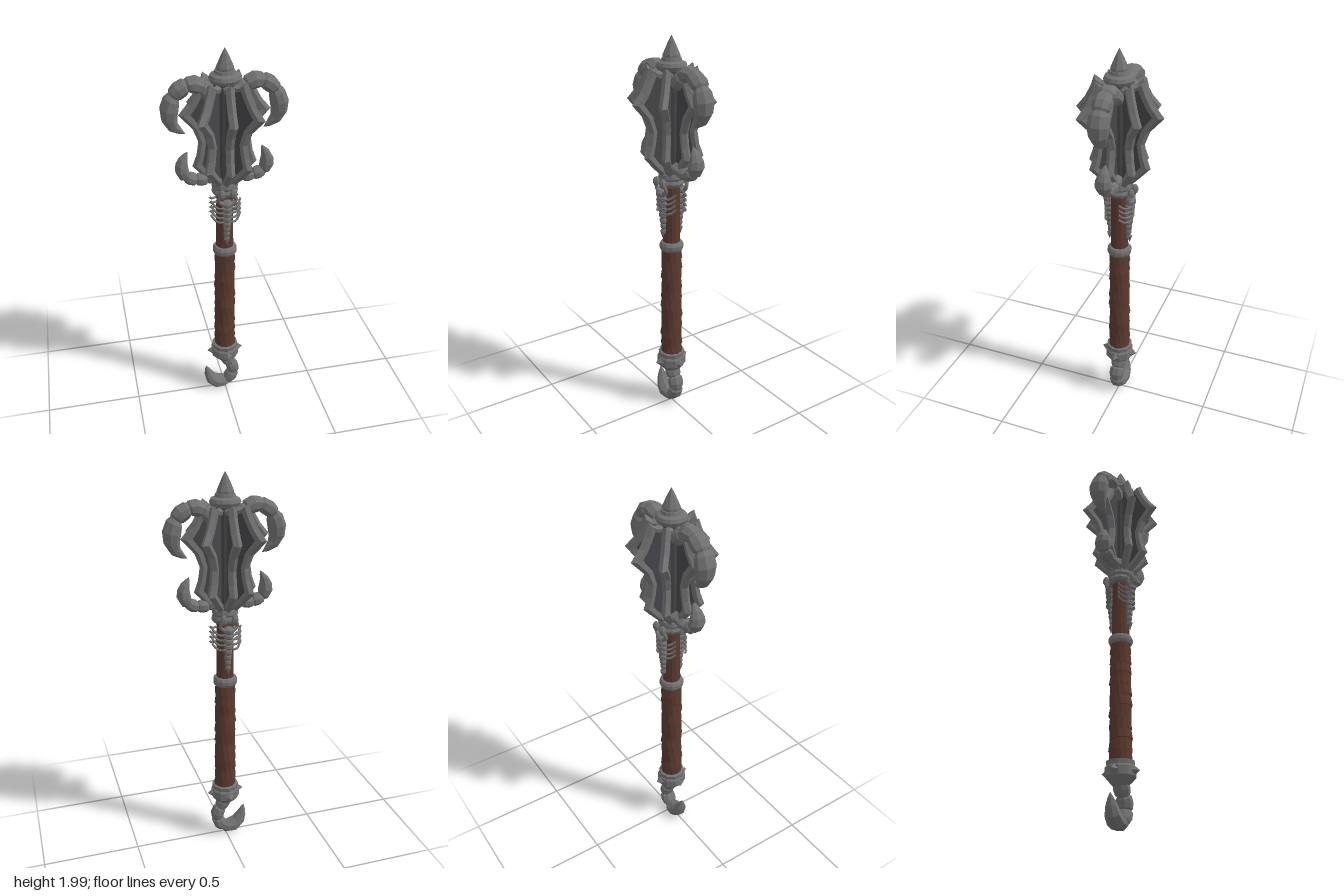
import * as THREE from 'three';

const mat = (name, color) => {
  const m = new THREE.MeshStandardMaterial({ color, flatShading: true });
  m.name = name;
  return m;
};

// Skins a list of equal-length point rings, closing both ends
function loft(rings) {
  const pos = [];
  const tri = (...pts) => pts.forEach(p => pos.push(p.x, p.y, p.z));
  const n = rings[0].length;
  const mid = r => r.reduce((s, p) => s.add(p), new THREE.Vector3()).divideScalar(n);
  const first = rings[0], last = rings[rings.length - 1];
  const c0 = mid(first), c1 = mid(last);
  for (let i = 0; i < n; i++) {
    const j = (i + 1) % n;
    for (let k = 0; k < rings.length - 1; k++) {
      const a = rings[k], b = rings[k + 1];
      tri(a[i], a[j], b[j]);
      tri(a[i], b[j], b[i]);
    }
    tri(c0, first[j], first[i]);
    tri(c1, last[i], last[j]);
  }
  const g = new THREE.BufferGeometry();
  g.setAttribute('position', new THREE.Float32BufferAttribute(pos, 3));
  g.computeVertexNormals();
  return g;
}

export function createModel() {
  const steel = mat('steel', 0x717171);
  const darkSteel = mat('dark steel', 0x46464a);
  const leather = mat('leather', 0x5a3a2e);
  const root = new THREE.Group();

  const add = (parent, name, geo, material, x = 0, y = 0, z = 0) => {
    const m = new THREE.Mesh(geo, material);
    m.name = name;
    m.position.set(x, y, z);
    parent.add(m);
    return m;
  };
  const group = (name, parent = root) => {
    const g = new THREE.Group();
    g.name = name;
    parent.add(g);
    return g;
  };
  const lathe = (name, pts, sides, material = steel) =>
    add(root, name, new THREE.LatheGeometry(pts.map(p => new THREE.Vector2(...p)), sides), material);

  // Curved tail: overlapping armour segments ending in a pointed stinger
  function tail(parent, name, pts, width, depth, cuts) {
    const g = group(name, parent);
    const curve = new THREE.CatmullRomCurve3(pts.map(p => new THREE.Vector3(p[0], p[1], 0)));
    const plate = [[0, 0.72], [0.15, 0.95], [0.55, 1.02], [0.9, 0.92], [1.06, 0.7]];
    const sting = [[0, 0.7], [0.1, 1.0], [0.3, 1.12], [0.5, 0.98], [0.7, 0.7], [0.88, 0.36], [1, 0.03]];
    for (let s = 0; s < cuts.length - 1; s++) {
      const isSting = s === cuts.length - 2;
      const rings = (isSting ? sting : plate).map(([f, k]) => {
        const u = Math.min(1, cuts[s] + f * (cuts[s + 1] - cuts[s]));
        const c = curve.getPointAt(u), t = curve.getTangentAt(u);
        return Array.from({ length: 8 }, (_, i) => {
          const a = (i + 0.5) * Math.PI / 4;
          const w = Math.cos(a) * width * k * 1.06;
          return new THREE.Vector3(c.x + t.y * w, c.y - t.x * w, -Math.sin(a) * depth * k * 1.06);
        });
      });
      add(g, isSting ? 'stinger' : 'tailSegment', loft(rings), steel);
    }
    return g;
  }

  // Leather grip: staggered, slightly tilted wraps
  const grip = group('grip');
  for (let i = 0; i < 11; i++) {
    const r = 0.056 - i * 0.0004;
    const wrap = add(grip, 'leatherWrap', new THREE.CylinderGeometry(r - 0.003, r + 0.002, 0.066, 12),
      leather, 0, 0.355 + i * 0.056, 0);
    wrap.rotation.set(Math.sin(i * 2.1) * 0.06, i * 0.4, Math.cos(i * 1.7) * 0.08);
  }
  add(root, 'gripCore', new THREE.CylinderGeometry(0.05, 0.053, 0.62, 12), leather, 0, 0.63, 0);
  add(root, 'upperShaft', new THREE.CylinderGeometry(0.042, 0.045, 0.36, 12), leather, 0, 1.13, 0);

  // Rings and pommel
  lathe('middleCollar', [[0.04, 0.93], [0.056, 0.932], [0.062, 0.945], [0.062, 0.962], [0.055, 0.975], [0.04, 0.98]], 12);
  lathe('pommel', [[0, 0.212], [0.035, 0.215], [0.06, 0.24], [0.076, 0.258], [0.076, 0.3],
    [0.068, 0.31], [0.07, 0.332], [0.05, 0.338]], 10);
  lathe('neckCollar', [[0.03, 1.272], [0.058, 1.278], [0.066, 1.295], [0.058, 1.312], [0.066, 1.322],
    [0.062, 1.342], [0.03, 1.35]], 12);
  for (let i = 0; i < 4; i++) {
    const holder = group('pommelStud');
    holder.rotation.y = i * Math.PI / 2;
    add(holder, 'stud', new THREE.ConeGeometry(0.03, 0.034, 4), steel, 0.083, 0.282, 0).rotation.z = -Math.PI / 2;
  }

  // Head core, crown and top spike
  lathe('headCore', [[0, 1.3], [0.05, 1.32], [0.056, 1.45], [0.06, 1.7], [0.058, 1.87], [0, 1.88]], 16, darkSteel);
  lathe('crown', [[0.045, 1.835], [0.066, 1.843], [0.075, 1.862], [0.068, 1.878], [0.05, 1.886], [0.046, 1.9], [0, 1.905]], 14);
  lathe('topSpike', [[0.03, 1.89], [0.042, 1.9], [0.042, 1.912], [0.032, 1.935], [0.016, 1.97], [0, 2]], 8);

  // Eight flanges: bevelled rim around a thin dark blade
  const outer = [[0.05, 1.325], [0.1, 1.375], [0.157, 1.437], [0.136, 1.495], [0.126, 1.56], [0.15, 1.625],
    [0.217, 1.7], [0.172, 1.755], [0.142, 1.81], [0.122, 1.866], [0.09, 1.843], [0.05, 1.845]];
  const inner = [[0.035, 1.365], [0.075, 1.4], [0.112, 1.446], [0.1, 1.497], [0.091, 1.56], [0.113, 1.636],
    [0.162, 1.7], [0.132, 1.742], [0.106, 1.795], [0.094, 1.822], [0.075, 1.812], [0.035, 1.812]];
  const rimGeo = loft(outer.map(([r, y], i) => {
    const [q, h] = inner[i], t = 0.02;
    const sr = q + (r - q) * 0.6, sy = h + (y - h) * 0.6;
    return [[r, y, 0], [sr, sy, -t], [q, h, -t * 0.8], [q, h, t * 0.8], [sr, sy, t]].map(p => new THREE.Vector3(...p));
  }));
  const bladeGeo = new THREE.ExtrudeGeometry(
    new THREE.Shape([[0.02, 1.36], ...inner, [0.02, 1.81]].map(p => new THREE.Vector2(...p))),
    { depth: 0.018, bevelEnabled: false }).translate(0, 0, -0.009);
  for (let i = 0; i < 8; i++) {
    const f = group('flange');
    f.rotation.y = i * Math.PI / 4;
    add(f, 'flangeRim', rimGeo, steel);
    add(f, 'flangeBlade', bladeGeo, darkSteel);
  }

  // Pairs of tails on the left and right of the head
  for (const turn of [0, Math.PI]) {
    const side = group('sideTails');
    side.rotation.y = turn;
    tail(side, 'upperTail', [[0.05, 1.775], [0.09, 1.815], [0.14, 1.842], [0.195, 1.83], [0.24, 1.785],
      [0.26, 1.71], [0.243, 1.65], [0.187, 1.608]], 0.037, 0.044, [0, 0.16, 0.33, 0.5, 1]);
    tail(side, 'lowerTail', [[0.04, 1.39], [0.08, 1.368], [0.125, 1.365], [0.17, 1.375], [0.203, 1.405],
      [0.207, 1.455], [0.18, 1.515]], 0.029, 0.036, [0, 0.18, 0.35, 0.52, 1]);
  }

  // Hooked tail under the pommel
  tail(root, 'pommelHook', [[-0.005, 0.24], [0.022, 0.19], [0.045, 0.14], [0.035, 0.08], [-0.01, 0.045],
    [-0.06, 0.055], [-0.09, 0.1], [-0.107, 0.168]], 0.034, 0.039, [0, 0.17, 0.34, 0.51, 1]);

  // Clinging creature on the front and back of the neck
  for (const turn of [0, Math.PI]) {
    const c = group('neckCreature');
    c.rotation.y = turn;
    for (let i = 0; i < 8; i++) {
      const k = 1 - i * 0.075;
      const seg = add(c, 'bodySegment', new THREE.SphereGeometry(1, 8, 5), steel, 0, 1.245 - i * 0.029, 0.058 - i * 0.0016);
      seg.scale.set(0.031 * k, 0.021, 0.029 * k);
    }
    add(c, 'tailTip', new THREE.ConeGeometry(0.014, 0.04, 6), steel, 0, 1.025, 0.054).rotation.x = Math.PI;
    for (const s of [-1, 1]) {
      for (let i = 0; i < 4; i++) {
        const y = 1.235 - i * 0.026;
        const path = new THREE.CatmullRomCurve3([[0.015, y - 0.01, 0.068], [0.045, y - 0.012, 0.056], [0.062, y - 0.002, 0.036],
          [0.074, y + 0.016, 0.022]].map(p => new THREE.Vector3(p[0] * s, p[1], p[2])));
        add(c, 'leg', new THREE.TubeGeometry(path, 6, 0.006, 5), steel);
      }
      const arm = new THREE.CatmullRomCurve3([[0.018, 1.245, 0.065], [0.042, 1.265, 0.06], [0.034, 1.295, 0.068]]
        .map(p => new THREE.Vector3(p[0] * s, p[1], p[2])));
      add(c, 'arm', new THREE.TubeGeometry(arm, 6, 0.01, 6), steel);
      const claw = add(c, 'claw', new THREE.SphereGeometry(1, 7, 5), steel, 0.028 * s, 1.302, 0.07);
      claw.scale.set(0.018, 0.026, 0.018);
    }
  }
  return root;
}
